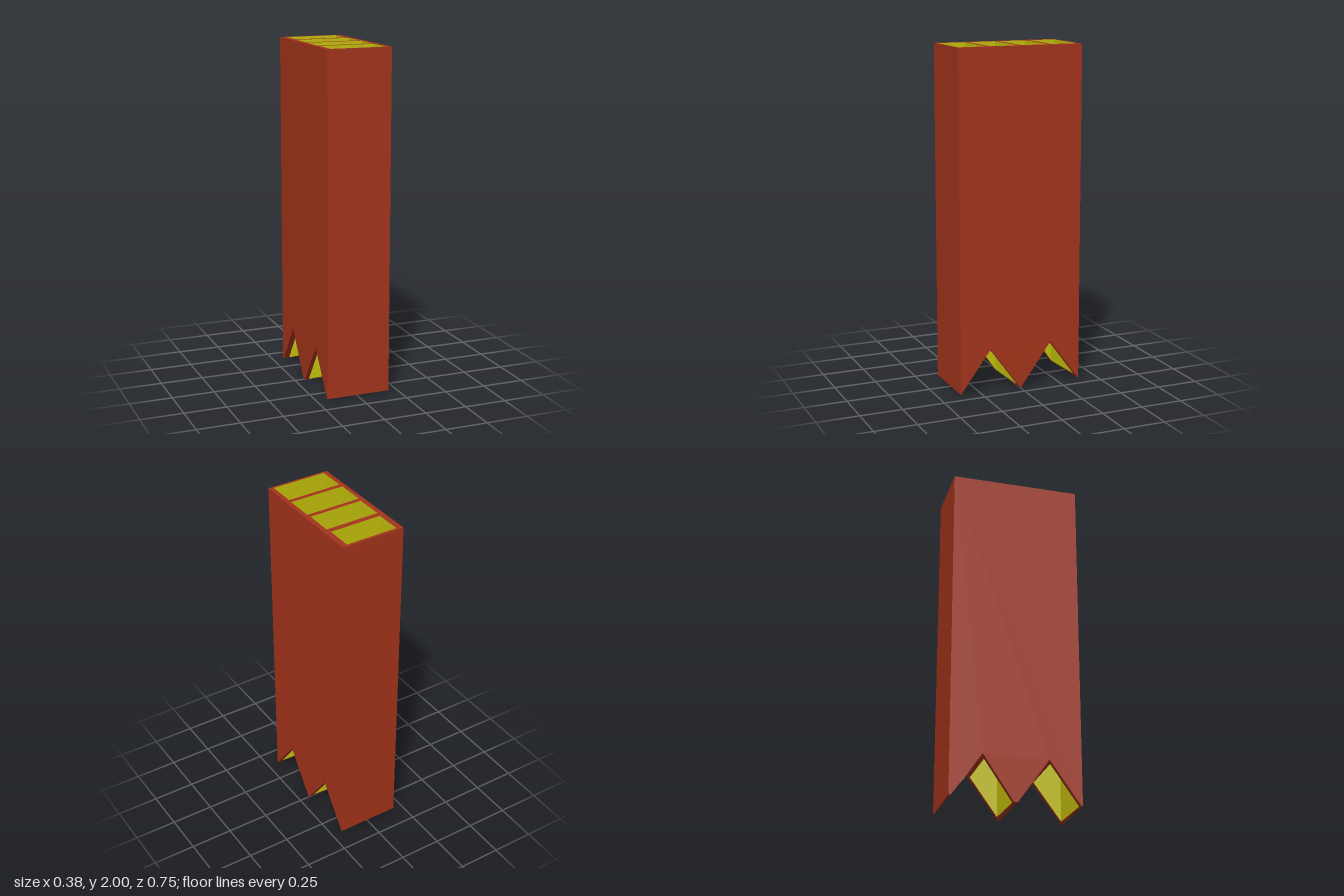
import * as THREE from 'three';

const W = 0.19, D = 0.377, H = 2;        // half width, half depth, height
const APEX_Z = 0.19, APEX_Y = 0.26;      // ridge of each V notch
const FLOOR_Y = 1;                       // closed floor inside every channel

// channels from back to front: half width, back z, front z
const channels = [
  { w: 0.155, z0: -0.362, z1: -0.208 },
  { w: 0.161, z0: -0.176, z1: -0.016 },
  { w: 0.165, z0: 0.010, z1: 0.175 },
  { w: 0.163, z0: 0.201, z1: 0.364 },
];
// each channel opens on one notch slope, running from a ridge to a foot line
channels.forEach((c, i) => {
  const outer = i === 0 || i === 3, s = i < 2 ? -1 : 1;
  c.apex = s * APEX_Z;
  c.footR = outer ? s * (D - 0.001) : 0;                       // foot on the +x side
  c.footL = (i % 2 ? c.z1 : c.z0);                             // foot on the -x side
  if (i === 1) c.footL = c.z1 + 0.001;
  if (i === 2) c.footL = c.z0 - 0.001;
  if (i === 0) c.footL = c.z0 - 0.001;
  if (i === 3) c.footL = c.z1 + 0.001;
  c.footY = outer ? 0.01 : 0;
  c.foot = x => THREE.MathUtils.lerp(c.footL, c.footR, (x + W) / (2 * W));
  c.cut = (x, z) => APEX_Y + (c.footY - APEX_Y) * (z - c.apex) / (c.foot(x) - c.apex);
});

const v2 = pts => pts.map(p => new THREE.Vector2(p[0], p[1]));

// flat outline (with holes) whose points are then placed in space by a rule
function panel(points, place, holes = []) {
  const shape = new THREE.Shape(v2(points));
  holes.forEach(h => shape.holes.push(new THREE.Path(v2(h))));
  const geo = new THREE.ShapeGeometry(shape).toNonIndexed();
  const p = geo.attributes.position;
  for (let i = 0; i < p.count; i++) p.setXYZ(i, ...place(p.getX(i), p.getY(i)));
  geo.computeVertexNormals();
  return geo;
}

// four-cornered face
function quad(a, b, c, d) {
  const geo = new THREE.BufferGeometry();
  geo.setAttribute('position', new THREE.Float32BufferAttribute([a, b, c, a, c, d].flat(), 3));
  geo.computeVertexNormals();
  return geo;
}

const rect = c => [[-c.w, c.z0], [c.w, c.z0], [c.w, c.z1], [-c.w, c.z1]];

export function createModel() {
  const group = new THREE.Group();
  const red = new THREE.MeshStandardMaterial({ color: 0xa5341b, side: THREE.DoubleSide });
  const yellow = new THREE.MeshStandardMaterial({ color: 0xc6c20d, side: THREE.DoubleSide });
  const add = (name, geo, mat, parent = group) => {
    const mesh = new THREE.Mesh(geo, mat);
    mesh.name = name;
    parent.add(mesh);
  };

  // top rim with four openings
  add('topRim', panel([[-W, -D], [W, -D], [W, D], [-W, D]],
    (x, v) => [x, H, -v],
    channels.map(c => rect(c).map(([x, z]) => [x, -z]))), red);

  // notched side walls
  for (const s of [1, -1]) {
    const foot = c => [c.foot(s * W), c.footY];
    const [a, b, c, d] = channels;
    const outline = [[-D, H], [-D, a.footY], foot(a), [-APEX_Z, APEX_Y], foot(b)];
    if (s < 0) outline.push(foot(c));
    outline.push([APEX_Z, APEX_Y], foot(d), [D, d.footY], [D, H]);
    add(s > 0 ? 'leftWall' : 'rightWall',
      panel(outline.map(([z, y]) => [-s * z, y]), (u, y) => [s * W, y, -s * u]), red);
  }

  // plain front and back walls
  for (const s of [1, -1]) {
    add(s > 0 ? 'frontWall' : 'backWall',
      quad([-s * W, 0.01, s * D], [s * W, 0.01, s * D], [s * W, H, s * D], [-s * W, H, s * D]), red);
  }

  // sloped notch faces, each pierced by its channel
  for (const c of channels) {
    add('notchSlope', panel(
      [[-W, c.apex], [W, c.apex], [W, c.footR], [-W, c.footL]],
      (x, z) => [x, c.cut(x, z), z], [rect(c)]), red);
  }

  // narrow feet under the end walls and the middle divider
  const [a, b, c, d] = channels;
  const down = y => (x, z) => [x, y, z];
  add('backFoot', panel([[-W, -D], [W, -D], [W, a.footR], [-W, a.footL]], down(0.01)), red);
  add('middleFoot', panel([[-W, b.footL], [W, 0], [-W, c.footL]], down(0)), red);
  add('frontFoot', panel([[-W, d.footL], [W, d.footR], [W, D], [-W, D]], down(0.01)), red);

  // channel linings and their floors
  channels.forEach(ch => {
    const channel = new THREE.Group();
    channel.name = 'channel';
    const corners = rect(ch);
    corners.forEach(([x, z], i) => {
      const [x2, z2] = corners[(i + 1) % 4];
      add('lining', quad([x, ch.cut(x, z), z], [x2, ch.cut(x2, z2), z2],
        [x2, H, z2], [x, H, z]), yellow, channel);
    });
    add('channelFloor', panel(corners.map(([x, z]) => [x, -z]),
      (x, v) => [x, FLOOR_Y, -v]), yellow, channel);
    group.add(channel);
  });

  return group;
}
